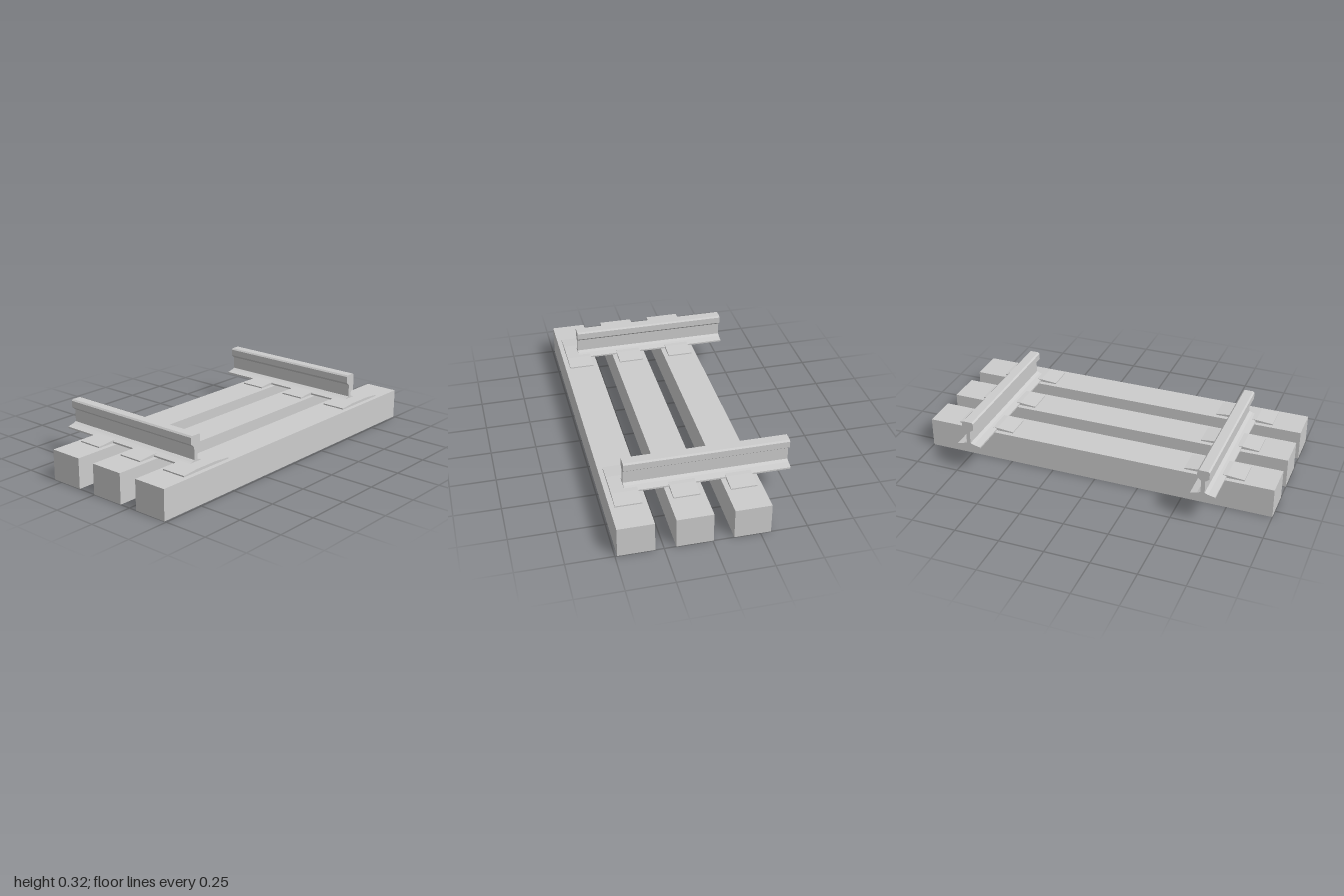
import * as THREE from 'three';

const material = new THREE.MeshStandardMaterial({ color: 0xcccccc, flatShading: true });

// Mirror a half profile [halfWidth, y] (bottom to top) and extrude it along x
function extrudeAlongX(half, x0, x1) {
  const points = [
    ...half.map(([w, y]) => new THREE.Vector2(w, y)),
    ...half.slice().reverse().map(([w, y]) => new THREE.Vector2(-w, y)),
  ];
  const geometry = new THREE.ExtrudeGeometry(new THREE.Shape(points), {
    depth: x1 - x0,
    bevelEnabled: false,
  });
  geometry.rotateY(Math.PI / 2);
  geometry.translate(x0, 0, 0);
  return geometry;
}

export function createModel() {
  const model = new THREE.Group();
  model.name = 'railwayTrack';

  const add = (geometry, name, x, y, z) => {
    const mesh = new THREE.Mesh(geometry, material);
    mesh.name = name;
    mesh.position.set(x, y, z);
    model.add(mesh);
  };

  const tieTop = 0.168;
  const tieCentres = [-0.209, 0.0915, 0.392];
  const railZ = 0.667;

  // Sleepers
  const tie = new THREE.BoxGeometry(0.193, tieTop, 2);
  tieCentres.forEach((x, i) => add(tie, `sleeper${i + 1}`, x, tieTop / 2, 0));

  // Rail: flat foot, thin web, chamfered head
  const rail = extrudeAlongX([
    [0.067, 0.169], [0.067, 0.178], [0.03, 0.186], [0.011, 0.194],
    [0.011, 0.263], [0.033, 0.281], [0.033, 0.317], [0.025, 0.325],
  ], -0.49, 0.39);

  // Bearing plate: thin at the ends, thicker beneath the rail
  const plate = extrudeAlongX([
    [0.165, tieTop], [0.165, 0.175], [0.07, 0.183],
  ], -0.07, 0.07);

  for (const side of [1, -1]) {
    const label = side > 0 ? 'front' : 'back';
    add(rail, `${label}Rail`, 0, 0, side * railZ);
    tieCentres.forEach((x, i) => add(plate, `${label}Plate${i + 1}`, x, 0, side * railZ));
  }

  return model;
}
